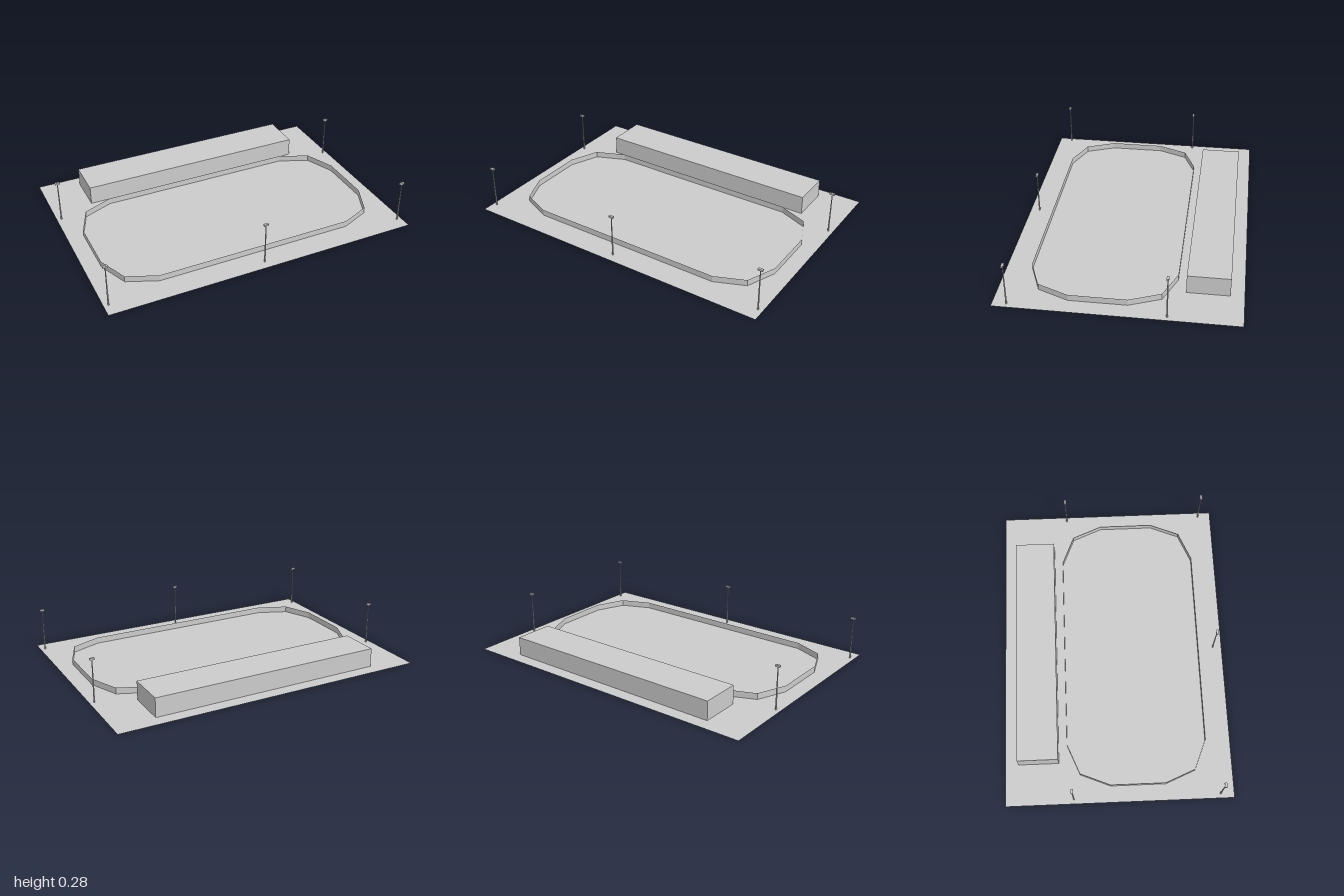
import * as THREE from 'three';

export function createModel() {
  const group = new THREE.Group();
  const gray = new THREE.MeshStandardMaterial({ color: 0xcccccc, flatShading: true, side: THREE.DoubleSide });
  gray.name = 'light gray';

  const add = (parent, name, geometry, x = 0, y = 0, z = 0) => {
    const mesh = new THREE.Mesh(geometry, gray);
    mesh.name = name;
    mesh.position.set(x, y, z);
    parent.add(mesh);
    return mesh;
  };

  // Flat ground sheet
  add(group, 'ground', new THREE.PlaneGeometry(2, 1.426).rotateX(-Math.PI / 2));

  // Long block at the back
  add(group, 'stand', new THREE.BoxGeometry(1.482, 0.12, 0.255), 0, 0.06, -0.503);

  // Thin fence: rounded rectangle with two facets per corner
  const height = 0.04, radius = 0.265, halfX = 0.897, halfZ = 0.438;
  const outline = [];
  [[1, 1], [-1, 1], [-1, -1], [1, -1]].forEach(([sx, sz], corner) => {
    for (let i = 0; i <= 2; i++) {
      const a = (corner + i / 2) * Math.PI / 2;
      outline.push([
        sx * (halfX - radius) + radius * Math.cos(a),
        sz * (halfZ - radius) + radius * Math.sin(a),
      ]);
    }
  });
  const positions = [];
  outline.forEach(([x0, z0], i) => {
    const [x1, z1] = outline[(i + 1) % outline.length];
    positions.push(x0, 0, z0, x0, height, z0, x1, height, z1);
    positions.push(x0, 0, z0, x1, height, z1, x1, 0, z1);
  });
  const fence = new THREE.BufferGeometry();
  fence.setAttribute('position', new THREE.Float32BufferAttribute(positions, 3));
  fence.computeVertexNormals();
  add(group, 'fence', fence, 0, 0, 0.117);

  // Lamp posts: tapered pole with a small flat head
  const pole = new THREE.CylinderGeometry(0.003, 0.005, 0.265, 8);
  const head = new THREE.BoxGeometry(0.03, 0.011, 0.014);
  for (const [x, z] of [[-0.97, 0.628], [0.97, 0.628], [-0.97, -0.287], [0.97, -0.287], [0, 0.656]]) {
    const post = new THREE.Group();
    post.name = 'lampPost';
    post.position.set(x, 0, z);
    add(post, 'pole', pole, 0, 0.1325, 0);
    add(post, 'lampHead', head, 0, 0.27, 0);
    group.add(post);
  }

  return group;
}
